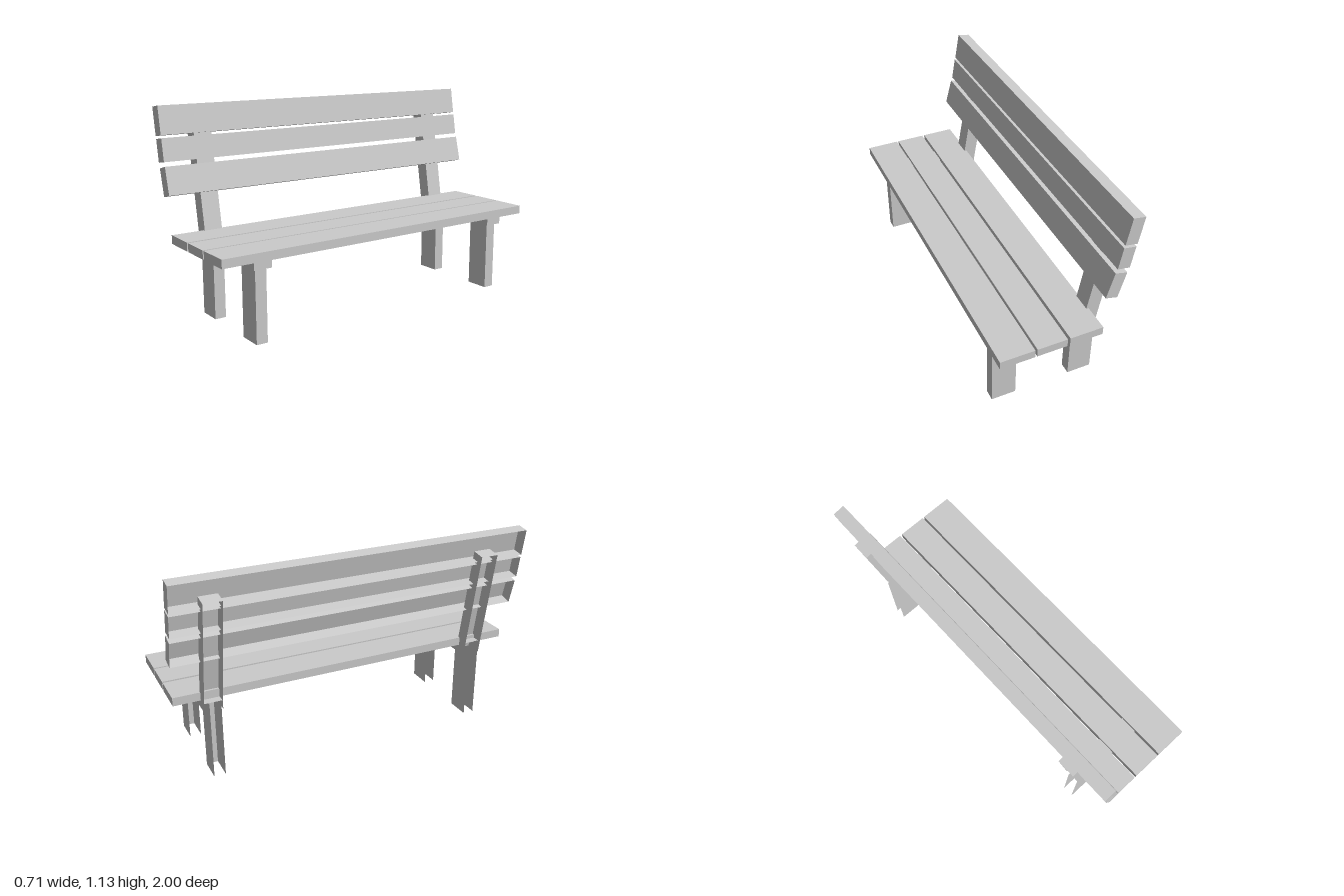
import * as THREE from 'three';

const material = new THREE.MeshStandardMaterial({
  color: 0xcccccc, flatShading: true, side: THREE.DoubleSide,
});

// Face slots of a BoxGeometry
const BACK = 1, TOP = 2, BOTTOM = 3;

// Box shell that leaves out the hidden sides listed in `open`
function shell(w, h, d, open) {
  const geometry = new THREE.BoxGeometry(w, h, d);
  const index = Array.from(geometry.index.array);
  geometry.setIndex(index.filter((_, i) => !open.includes(Math.floor(i / 6))));
  geometry.clearGroups();
  return geometry;
}

// Plank given by its centre, size and lean towards the back (-x)
function plank(name, [x, y, z], [w, h, d], open, lean = 0) {
  const mesh = new THREE.Mesh(shell(w, h, d, open), material);
  mesh.name = name;
  mesh.position.set(x, y, z);
  mesh.rotation.z = lean;
  return mesh;
}

export function createModel() {
  const bench = new THREE.Group();
  bench.name = 'bench';

  // Seat slats: x from, x to
  const seat = new THREE.Group();
  seat.name = 'seat';
  for (const [a, b] of [[-0.2, -0.018], [-0.004, 0.16], [0.171, 0.357]]) {
    seat.add(plank('seatSlat', [(a + b) / 2, 0.453, 0], [b - a, 0.046, 1.98], [BOTTOM]));
  }
  bench.add(seat);

  // Backrest boards: x, y, height, lean
  const backrest = new THREE.Group();
  backrest.name = 'backrest';
  for (const [x, y, h, lean] of [
    [-0.301, 1.055, 0.15, 0.168],
    [-0.274, 0.906, 0.122, 0.168],
    [-0.236, 0.749, 0.149, 0.255],
  ]) {
    backrest.add(plank('backBoard', [x, y, 0], [0.067, h, 2], [BACK], lean));
  }
  bench.add(backrest);

  // Two end frames: z centre of the timber, z centre of the legs, rail top
  for (const [z, legZ, railTop] of [[0.76, 0.765, 0.457], [-0.795, -0.788, 0.43]]) {
    const frame = new THREE.Group();
    frame.name = 'endFrame';
    frame.add(
      plank('rearLeg', [-0.195, 0.215, legZ], [0.134, 0.43, 0.062], [BACK, TOP, BOTTOM]),
      plank('frontLeg', [0.25, 0.2, legZ], [0.135, 0.4, 0.062], [BACK, TOP, BOTTOM]),
      plank('seatRail', [0.044, (railTop + 0.384) / 2, z], [0.578, railTop - 0.384, 0.1], [BACK, BOTTOM]),
      plank('backPost', [-0.266, 0.705, z], [0.076, 0.637, 0.1], [BACK, BOTTOM], 0.172),
    );
    bench.add(frame);
  }
  return bench;
}
